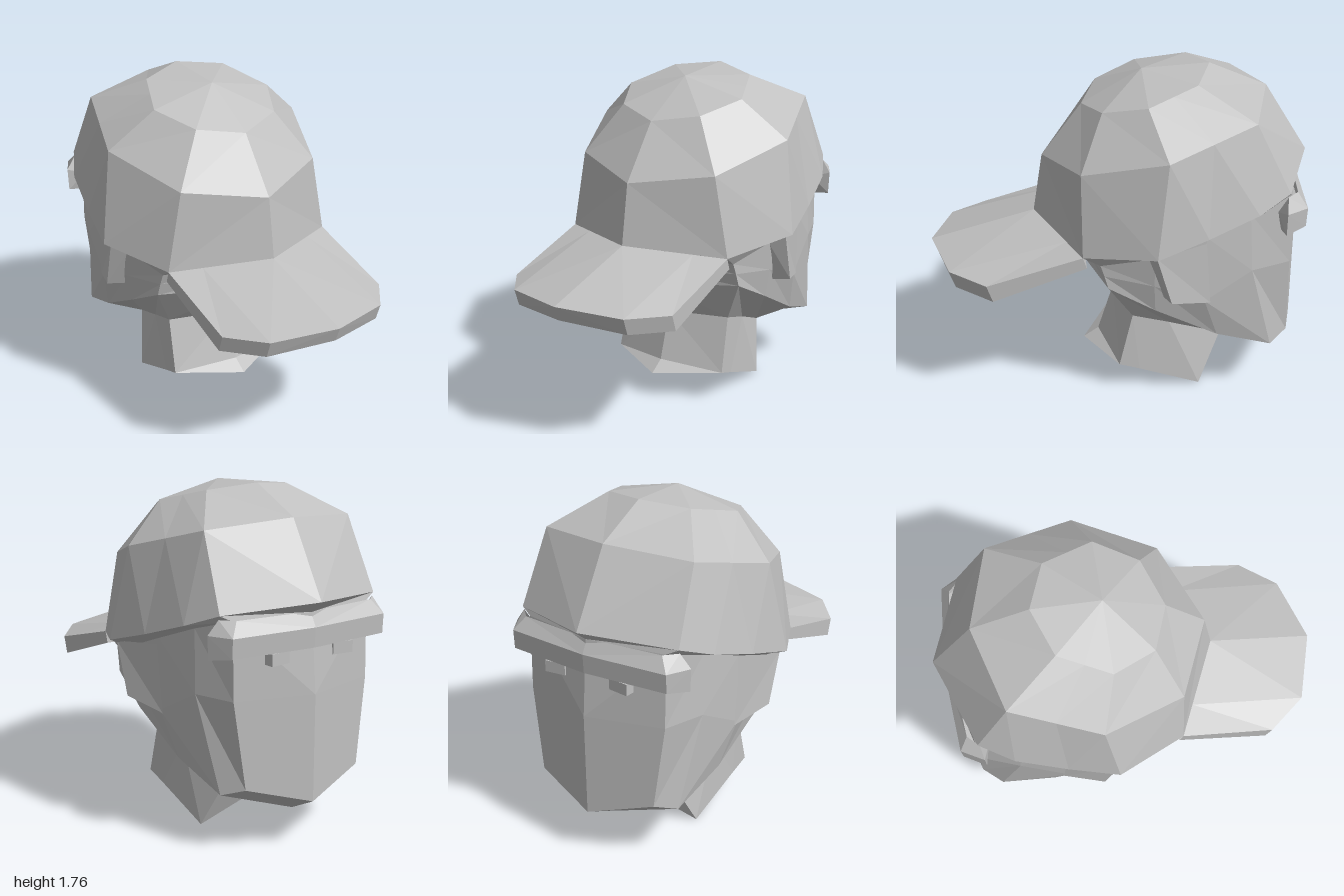
import * as THREE from 'three';

const grey = new THREE.MeshStandardMaterial({ color: 0xc0c0c0, side: THREE.DoubleSide, flatShading: true });
grey.name = 'matte grey';

// Skins half cross-sections (rows go top to bottom, columns from +z to -z on the +x side) and mirrors them
function skin(name, rows) {
  const pos = [];
  const tri = (...p) => {
    const [a, b, c] = p.map((q) => new THREE.Vector3(...q));
    if (b.sub(a).cross(c.sub(a)).length() > 1e-6) p.forEach((q) => pos.push(...q));
  };
  const flip = ([x, y, z]) => [-x, y, z];
  for (let i = 0; i + 1 < rows.length; i++) {
    for (let j = 0; j + 1 < rows[i].length; j++) {
      const a = rows[i][j], b = rows[i][j + 1], c = rows[i + 1][j + 1], d = rows[i + 1][j];
      tri(a, d, c);
      tri(a, c, b);
      tri(flip(a), flip(c), flip(d));
      tri(flip(a), flip(b), flip(c));
    }
  }
  const geo = new THREE.BufferGeometry();
  geo.setAttribute('position', new THREE.Float32BufferAttribute(pos, 3));
  geo.computeVertexNormals();
  const mesh = new THREE.Mesh(geo, grey);
  mesh.name = name;
  return mesh;
}

export function createModel() {
  const model = new THREE.Group();
  model.name = 'cappedHead';

  // Line where the cap meets the head
  const band = [[0, 0.86, 0.21], [0.47, 0.86, 0.13], [0.55, 0.93, -0.14], [0.53, 1.03, -0.4],
    [0.47, 1.12, -0.63], [0.4, 1.19, -0.85], [0, 1.2, -0.93]];

  // Cap dome: apex, two rings, rim, and the rim turned in to the head
  model.add(skin('capDome', [
    Array(7).fill([0, 1.74, -0.12]),
    [[0, 1.56, 0.19], [0.24, 1.6, 0.1], [0.35, 1.66, -0.12], [0.295, 1.695, -0.25],
      [0.24, 1.73, -0.38], [0.24, 1.73, -0.38], [0, 1.76, -0.47]],
    [[0, 1.28, 0.4], [0.41, 1.34, 0.22], [0.58, 1.46, -0.2], [0.505, 1.525, -0.425],
      [0.43, 1.59, -0.65], [0.43, 1.59, -0.65], [0, 1.63, -0.77]],
    [[0, 0.96, 0.45], [0.49, 0.92, 0.22], [0.66, 0.98, -0.14], [0.61, 1.06, -0.4],
      [0.55, 1.15, -0.66], [0.46, 1.22, -0.83], [0, 1.26, -1]],
    band,
  ]));

  // Cap brim: upper root, upper edge, lower edge, lower root
  model.add(skin('capBrim', [
    [[0, 0.96, 0.45], [0.33, 0.933, 0.295], [0.49, 0.92, 0.22], [0.49, 0.92, 0.22]],
    [[0, 0.81, 1], [0.34, 0.79, 0.9], [0.49, 0.78, 0.71], [0.49, 0.92, 0.22]],
    [[0, 0.73, 0.97], [0.34, 0.7, 0.87], [0.49, 0.69, 0.68], [0.49, 0.86, 0.2]],
    [[0, 0.86, 0.21], [0.33, 0.86, 0.2], [0.49, 0.86, 0.2], [0.49, 0.86, 0.2]],
  ]));

  // Head: band line, cheeks, jaw line, underside of the jaw
  const throat = [[0, 0.46, 0.03], [0.33, 0.47, -0.05], [0.3, 0.4, -0.25], [0.22, 0.27, -0.54], [0, 0.22, -0.59]];
  model.add(skin('head', [
    band,
    [[0, 0.77, 0.205], [0.475, 0.8, 0.11], [0.53, 0.76, -0.14], [0.53, 0.66, -0.4],
      [0.48, 0.8, -0.65], [0.4, 0.8, -0.86], [0, 0.8, -0.97]],
    [[0, 0.68, 0.2], [0.48, 0.73, 0.09], [0.5, 0.6, -0.15], [0.47, 0.42, -0.48],
      [0.42, 0.31, -0.78], [0.34, 0.35, -0.88], [0, 0.25, -0.97]],
    [...throat, [0, 0.16, -0.8], [0, 0.16, -0.8]],
  ]));

  // Open neck with a small flare at the nape
  const collar = [[0.34, 0.17, 0.02], [0.33, 0.13, -0.09], [0.3, 0, -0.42], [0, 0.22, -0.59]];
  model.add(skin('neck', [
    throat,
    [[0, 0.2, 0.11], ...collar],
    [[0, 0.145, 0.19], ...collar],
  ]));

  // Ears: wedges flaring out towards the nape
  model.add(skin('ears', [
    [[0.53, 0.94, -0.1], [0.62, 0.97, -0.14], [0.54, 1.0, -0.4]],
    [[0.52, 0.69, -0.19], [0.61, 0.7, -0.22], [0.53, 0.65, -0.43]],
    Array(3).fill([0.5, 0.68, -0.28]),
  ]));

  // Brow bar wrapping round the corners of the face
  const end = [0.42, 1.1, -0.78];
  model.add(skin('browBar', [
    [end, [0.46, 1.2, -0.82], [0.4, 1.2, -0.88], [0, 1.2, -0.92]],
    [end, [0.515, 1.13, -0.81], [0.45, 1.13, -0.925], [0, 1.13, -0.96]],
    [end, [0.51, 1.01, -0.81], [0.45, 1.03, -0.92], [0, 1.03, -0.955]],
    [end, [0.42, 1.0, -0.8], [0.38, 1.02, -0.84], [0, 1.02, -0.9]],
  ]));

  // Eyes: small blocks under the brow
  for (const s of [-1, 1]) {
    const eye = new THREE.Mesh(new THREE.BoxGeometry(0.11, 0.06, 0.06), grey);
    eye.name = s > 0 ? 'leftEye' : 'rightEye';
    eye.position.set(s * 0.19, 1.0, -0.91);
    eye.rotation.y = s * 0.12;
    model.add(eye);
  }
  return model;
}
